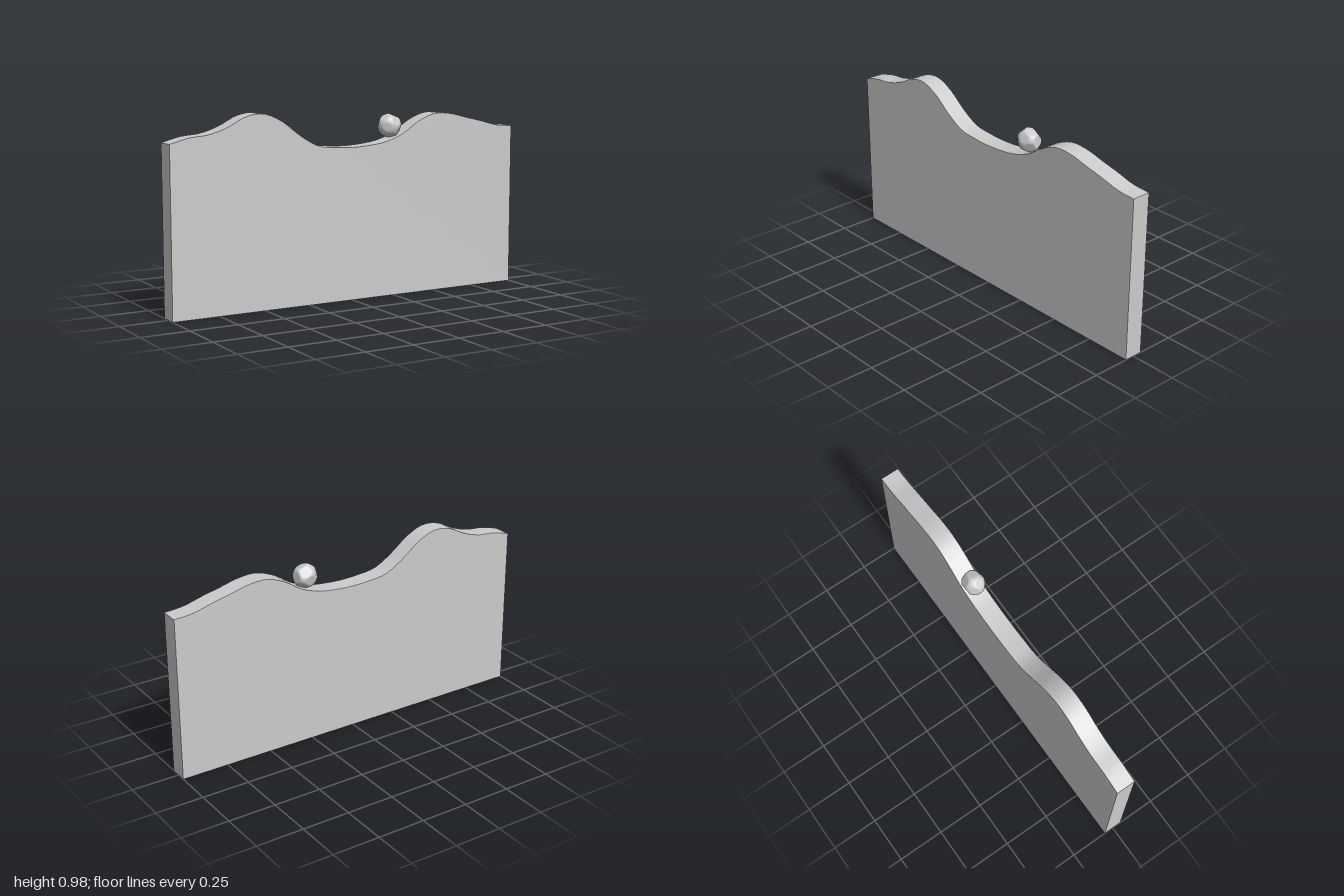
import * as THREE from 'three';
import { mergeVertices, toCreasedNormals } from 'three/addons/utils/BufferGeometryUtils.js';

const material = new THREE.MeshStandardMaterial({ color: 0xcccccc });

// Upright slab whose top edge is a rolling hill line
function createHillSlab() {
  const thickness = 0.1;
  const heights = [0.855, 0.88, 0.89, 0.92, 0.968, 0.978, 0.936, 0.862, 0.807, 0.793, 0.788,
    0.793, 0.807, 0.842, 0.904, 0.94, 0.936, 0.912, 0.889, 0.863, 0.855];
  const ridge = heights.map((y, i) => new THREE.Vector2(-1 + i * 0.1, y));
  const shape = new THREE.Shape();
  shape.moveTo(1, 0);
  shape.lineTo(1, heights.at(-1));
  shape.splineThru(ridge.reverse().slice(1));
  shape.lineTo(-1, 0);
  shape.closePath();
  const geometry = new THREE.ExtrudeGeometry(shape, { depth: thickness, bevelEnabled: false, curveSegments: 3 });
  geometry.translate(0, 0, -thickness / 2);
  const mesh = new THREE.Mesh(toCreasedNormals(geometry, 0.5), material);
  mesh.name = 'hillSlab';
  return mesh;
}

// Rounded stone: a sphere trimmed by a ring of slightly uneven flat cuts
function createBoulder() {
  const cuts = [];
  const count = 12;
  for (let i = 0; i < count; i++) {
    const y = 1 - (2 * i + 1) / count;
    const angle = i * 2.39996 + 0.4;
    const r = Math.sqrt(1 - y * y);
    const normal = new THREE.Vector3(r * Math.cos(angle), y, r * Math.sin(angle));
    cuts.push({ normal, distance: 0.89 + 0.04 * Math.sin(i * 2.3) });
  }
  let geometry = new THREE.IcosahedronGeometry(1, 9);
  geometry.deleteAttribute('normal');
  geometry.deleteAttribute('uv');
  geometry = mergeVertices(geometry);
  const position = geometry.attributes.position;
  const p = new THREE.Vector3();
  for (let i = 0; i < position.count; i++) {
    p.fromBufferAttribute(position, i).normalize();
    let radius = 1;
    for (const { normal, distance } of cuts) {
      const facing = p.dot(normal);
      if (facing > 0) radius = Math.min(radius, distance / facing);
    }
    p.multiplyScalar(radius);
    position.setXYZ(i, p.x, p.y, p.z);
  }
  geometry.scale(0.064, 0.062, 0.057);
  geometry.computeVertexNormals();
  const mesh = new THREE.Mesh(geometry, material);
  mesh.name = 'boulder';
  mesh.position.set(0.252, 0.886, 0);
  return mesh;
}

export function createModel() {
  const group = new THREE.Group();
  group.name = 'boulderOnHills';
  group.add(createHillSlab(), createBoulder());
  return group;
}
